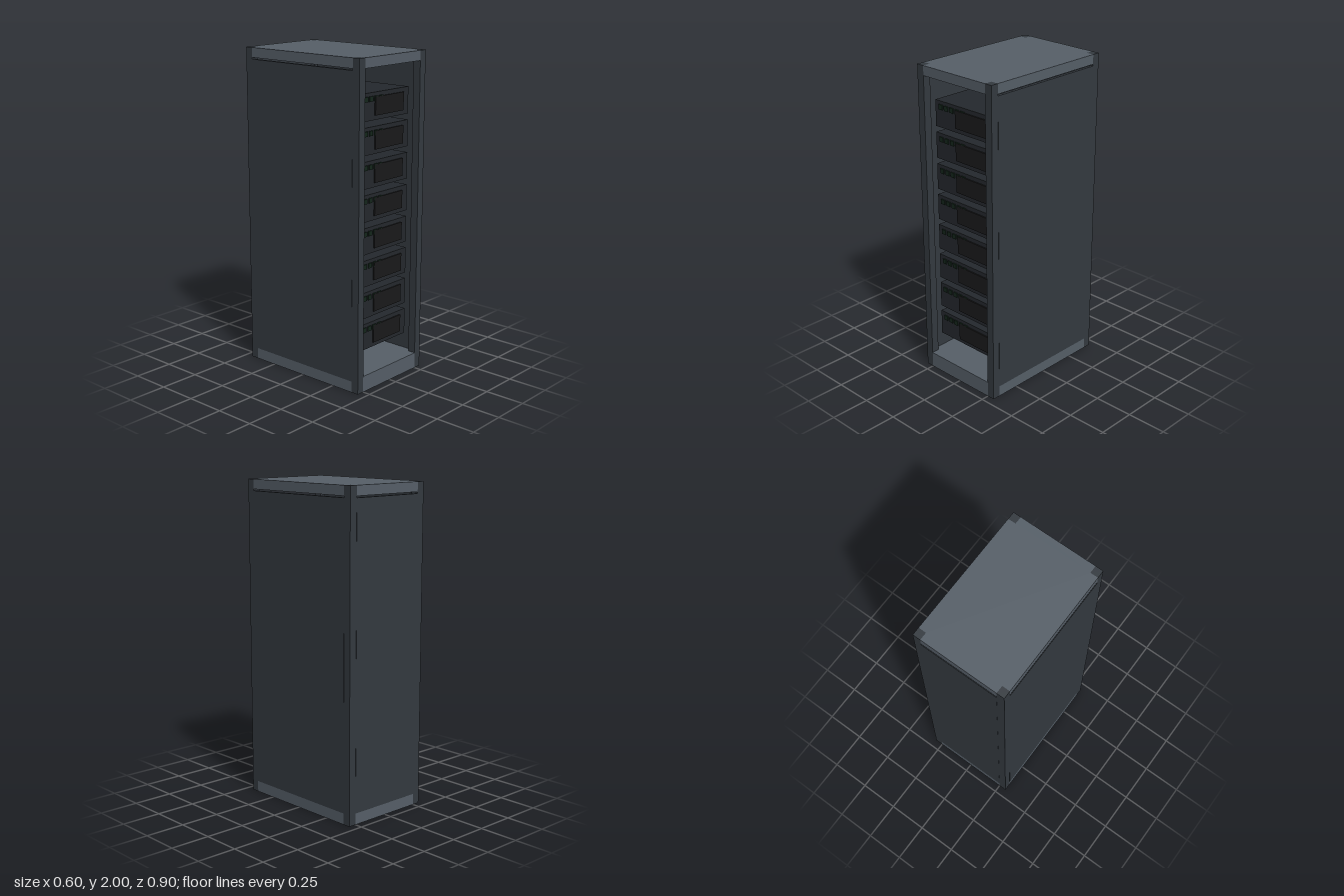
import * as THREE from 'three';

const mat = (color) => new THREE.MeshStandardMaterial({ color });

export function createModel() {
  const rack = new THREE.Group();
  rack.name = 'serverRack';

  const frameMat = mat(0x343a40);
  const plateMat = mat(0x565f68);
  const unitMat = mat(0x24282d);
  const screenMat = mat(0x1a1a1b);
  const lightMat = mat(0x14261b);

  const W = 0.3, D = 0.45, H = 2, POST = 0.05; // half width, half depth, height, post size

  function box(parent, name, size, pos, material) {
    const mesh = new THREE.Mesh(new THREE.BoxGeometry(...size), material);
    mesh.position.set(...pos);
    mesh.name = name;
    parent.add(mesh);
    return mesh;
  }

  // Corner posts
  for (const sx of [-1, 1]) {
    for (const sz of [-1, 1]) {
      box(rack, 'cornerPost', [POST, H, POST],
        [sx * (W - POST / 2), H / 2, sz * (D - POST / 2)], frameMat);
    }
  }

  // Base and roof plates, notched at the corners to fit around the posts
  function plate(name, y, height) {
    const a = W - POST, b = D - POST;
    const outline = [
      [a, -D], [a, -b], [W, -b], [W, b], [a, b], [a, D],
      [-a, D], [-a, b], [-W, b], [-W, -b], [-a, -b], [-a, -D],
    ].map(([x, z]) => new THREE.Vector2(x, z));
    const geo = new THREE.ExtrudeGeometry(new THREE.Shape(outline), { depth: height, bevelEnabled: false });
    geo.rotateX(-Math.PI / 2);
    const mesh = new THREE.Mesh(geo, plateMat);
    mesh.position.y = y;
    mesh.name = name;
    rack.add(mesh);
  }
  plate('base', 0, 0.1);
  plate('roof', 1.94, 0.06);

  // Side and back panels, a hair proud of the base and stopping short of the roof
  const T = 0.02, PROUD = 0.001, panelH = 1.86, panelY = 1.0;
  for (const sx of [-1, 1]) {
    box(rack, 'sidePanel', [T, panelH, 2 * (D - POST)],
      [sx * (W - T / 2 + PROUD), panelY, 0], frameMat);
  }
  box(rack, 'backPanel', [2 * (W - POST), panelH, T],
    [0, panelY, -D + T / 2 - PROUD], frameMat);

  // Eight stacked server units with a screen and a row of status lights
  const front = 0.37, depth = 0.7;
  for (let i = 0; i < 8; i++) {
    const unit = new THREE.Group();
    unit.name = 'serverUnit';
    unit.position.y = 0.3 + i * 0.2;
    box(unit, 'unitCase', [0.485, 0.163, depth], [0, 0, front - depth / 2], unitMat);
    box(unit, 'unitScreen', [0.26, 0.11, 0.01], [0.06, 0, front + 0.003], screenMat);
    for (let k = 0; k < 5; k++) {
      box(unit, 'statusLight', [0.03, 0.03, 0.01], [-0.195 + k * 0.045, 0.045, front + 0.002], lightMat);
    }
    rack.add(unit);
  }

  return rack;
}
